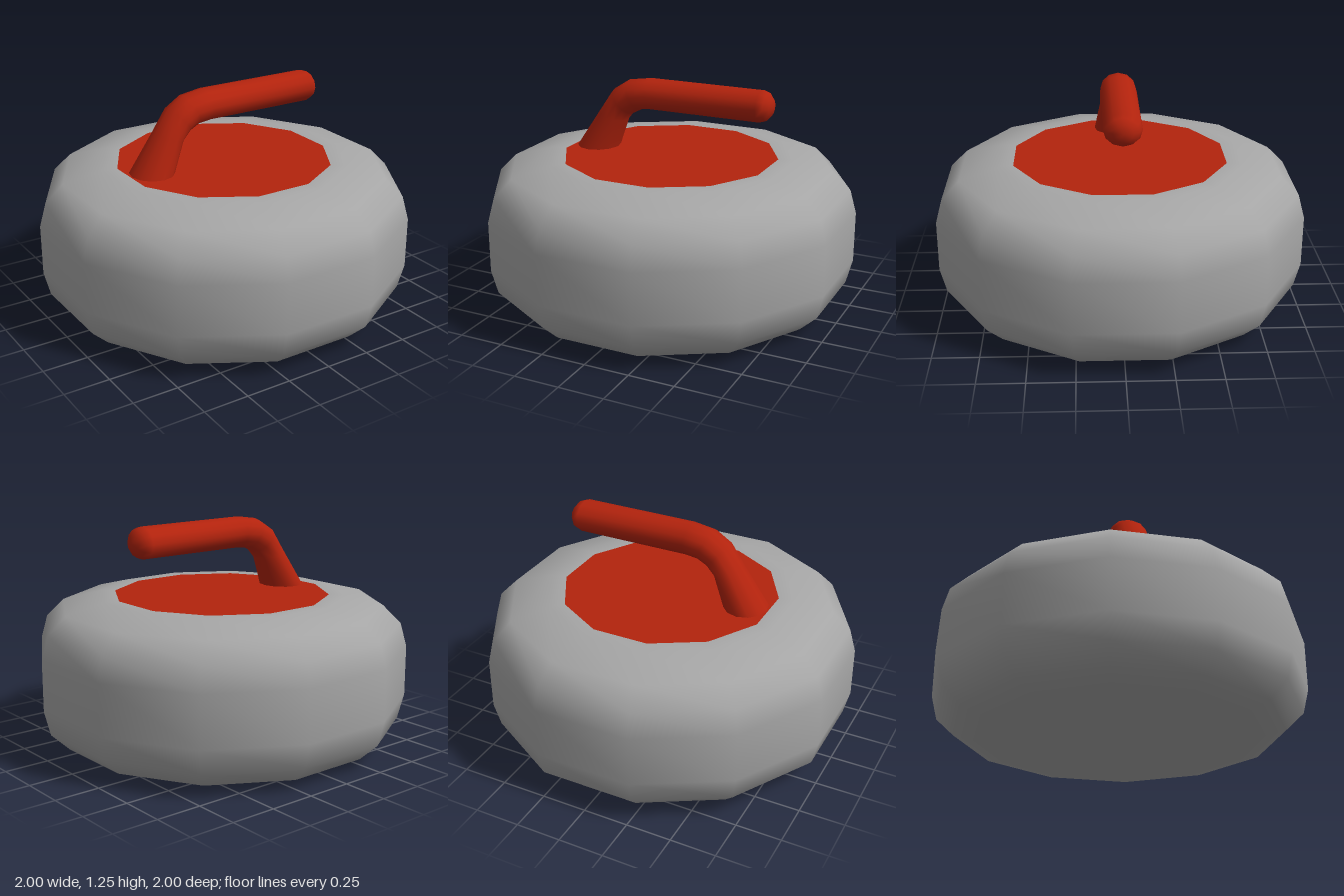
import * as THREE from 'three';

const SIDES = 12;
const CORNER = 1 / Math.cos(Math.PI / SIDES); // flat-to-flat radius -> corner radius

// Sweeps oval rings [outerX, outerY, innerX, innerY, halfWidthZ] into a smooth closed-end grip
function sweepRings(rings, tip) {
  const n = 12, pos = [], index = [];
  for (const [ox, oy, ix, iy, w] of rings) {
    for (let j = 0; j < n; j++) {
      const a = (j / n) * Math.PI * 2, c = Math.cos(a) / 2;
      pos.push((ox + ix) / 2 + (ox - ix) * c, (oy + iy) / 2 + (oy - iy) * c, w * Math.sin(a));
    }
  }
  for (let i = 0; i < rings.length - 1; i++) {
    for (let j = 0; j < n; j++) {
      const a = i * n + j, b = i * n + (j + 1) % n;
      index.push(a, b, a + n, b, b + n, a + n);
    }
  }
  const last = (rings.length - 1) * n, end = rings.length * n;
  pos.push(...tip);
  for (let j = 0; j < n; j++) index.push(last + j, last + (j + 1) % n, end);
  const g = new THREE.BufferGeometry();
  g.setAttribute('position', new THREE.Float32BufferAttribute(pos, 3));
  g.setIndex(index);
  g.computeVertexNormals();
  return g;
}

export function createModel() {
  const group = new THREE.Group();
  const granite = new THREE.MeshStandardMaterial({ name: 'granite grey', color: 0xa6a6a6 });
  const red = new THREE.MeshStandardMaterial({ name: 'red', color: 0xb3230d });
  const add = (name, geometry, material) => {
    const mesh = new THREE.Mesh(geometry, material);
    mesh.name = name;
    group.add(mesh);
    return mesh;
  };

  // Twelve-sided stone, rounded at both rims
  const profile = [
    [0, 0], [0.73, 0], [0.87, 0.04], [0.967, 0.135], [1, 0.27], [1, 0.55],
    [0.965, 0.68], [0.87, 0.778], [0.66, 0.833], [0.58, 0.833],
  ].map(([r, y]) => new THREE.Vector2(r * CORNER, y));
  add('stone', new THREE.LatheGeometry(profile, SIDES, Math.PI / SIDES), granite);

  // Coloured plate filling the top of the stone
  const plate = new THREE.CircleGeometry(0.58 * CORNER, SIDES, Math.PI / SIDES);
  add('topPlate', plate.rotateX(-Math.PI / 2), red).position.y = 0.833;

  // Handle: flared foot, bent neck, straight grip and rounded end
  const rings = [
    [-0.575, 0.83, -0.333, 0.83, 0.132],
    [-0.43, 1.045, -0.272, 0.995, 0.1],
    [-0.345, 1.17, -0.23, 1.04, 0.1],
    [-0.25, 1.23, -0.178, 1.067, 0.1],
    [-0.12, 1.25, -0.11, 1.075, 0.1],
    [0.53, 1.25, 0.53, 1.075, 0.1],
    [0.565, 1.238, 0.565, 1.087, 0.086],
    [0.59, 1.208, 0.59, 1.117, 0.052],
  ];
  add('handle', sweepRings(rings, [0.6, 1.1625, 0]), red);

  return group;
}
